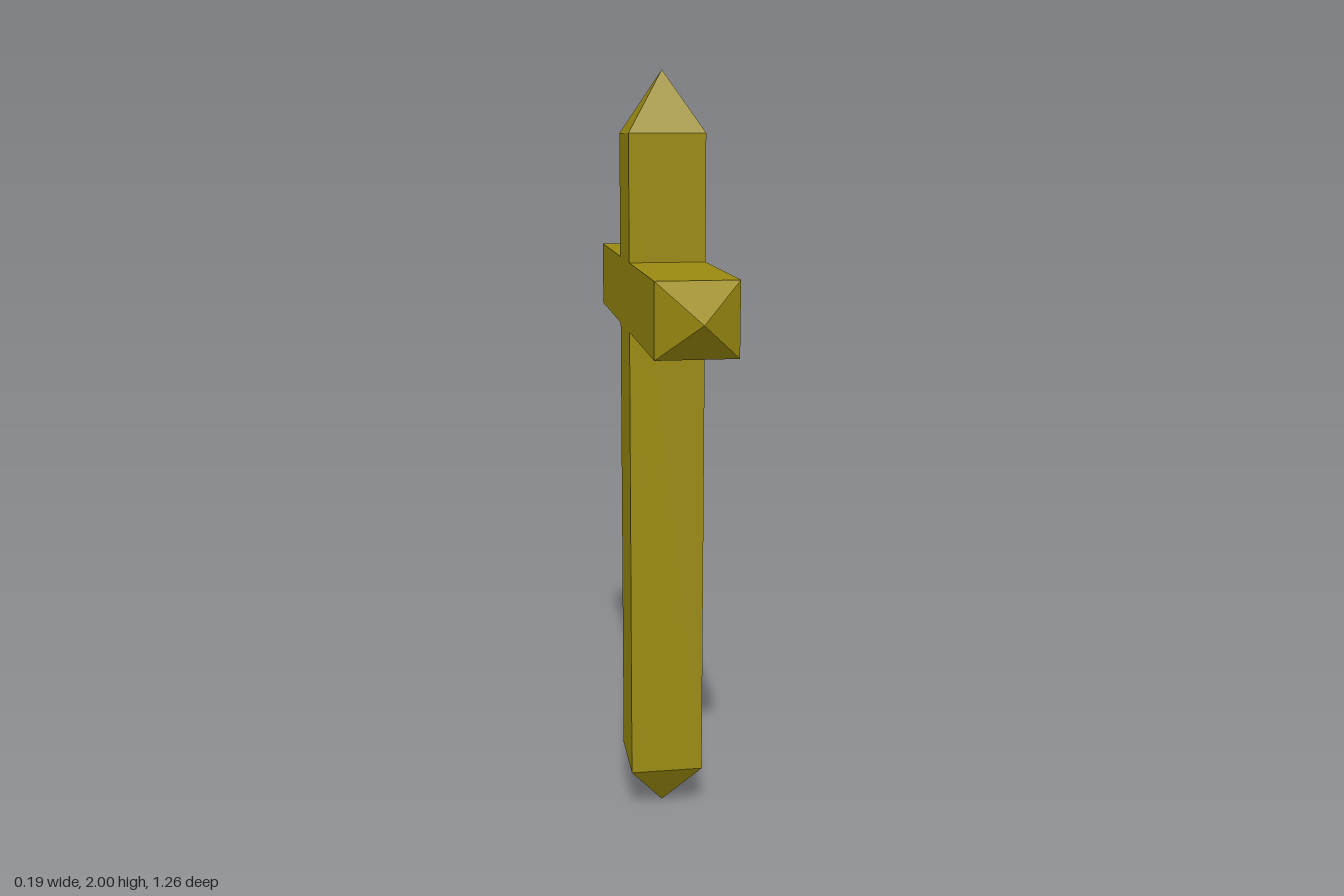
import * as THREE from 'three';

const material = new THREE.MeshStandardMaterial({ color: 0x9a8a10, flatShading: true });

// Square bar along y with a pyramid point at each end
function pointedBar(name, halfX, halfZ, [tipA, shoulderA, shoulderB, tipB]) {
  const profile = [[0, tipA], [Math.SQRT2, shoulderA], [Math.SQRT2, shoulderB], [0, tipB]]
    .map(([r, y]) => new THREE.Vector2(r, y));
  const geometry = new THREE.LatheGeometry(profile, 4, Math.PI / 4);
  geometry.scale(halfX, 1, halfZ);
  const mesh = new THREE.Mesh(geometry, material);
  mesh.name = name;
  return mesh;
}

export function createModel() {
  const group = new THREE.Group();
  group.name = 'cross';

  // Upright post
  group.add(pointedBar('upright', 0.097, 0.097, [0, 0.135, 1.845, 2]));

  // Crossbar running front to back
  const crossbar = pointedBar('crossbar', 0.097, 0.088, [-0.632, -0.545, 0.545, 0.632]);
  crossbar.rotation.x = Math.PI / 2;
  crossbar.position.y = 1.44;
  group.add(crossbar);

  return group;
}
